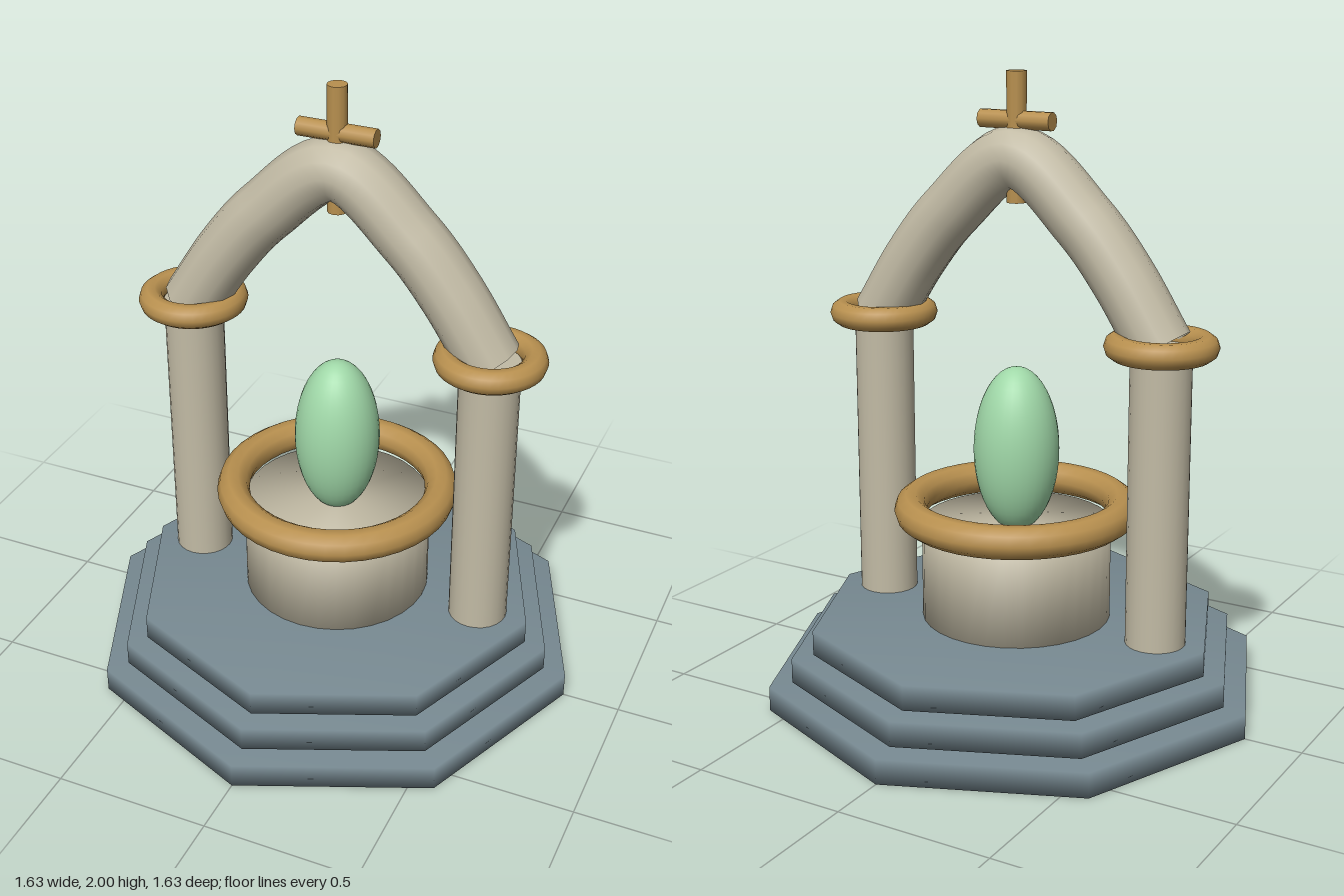
import * as THREE from 'three';
import { mergeVertices } from 'three/addons/utils/BufferGeometryUtils.js';

const slate = new THREE.MeshStandardMaterial({ color: 0x778991 });
const stone = new THREE.MeshStandardMaterial({ color: 0xc2bba5, side: THREE.DoubleSide });
const gold = new THREE.MeshStandardMaterial({ color: 0xb8904f });
const green = new THREE.MeshStandardMaterial({ color: 0xa0d8a8 });

// Weld a geometry so that its normals run softly over the rims
function soften(geometry) {
  geometry.deleteAttribute('normal');
  geometry.deleteAttribute('uv');
  const welded = mergeVertices(geometry);
  welded.computeVertexNormals();
  return welded;
}

// Upright cylinder between two heights
function pillar(radius, y0, y1, sides) {
  return new THREE.CylinderGeometry(radius, radius, y1 - y0, sides).translate(0, (y0 + y1) / 2, 0);
}

// Horizontal ring
function ring(radius, tube, y) {
  return new THREE.TorusGeometry(radius, tube, 10, 40).rotateX(Math.PI / 2).translate(0, y, 0);
}

export function createModel() {
  const model = new THREE.Group();
  model.name = 'shrineWell';
  const add = (name, geometry, material, x = 0) => {
    const mesh = new THREE.Mesh(geometry, material);
    mesh.name = name;
    mesh.position.x = x;
    model.add(mesh);
  };

  // Three octagonal steps with narrow joints
  [[0.814, 0], [0.74, 0.088], [0.67, 0.175]].forEach(([radius, y], i) =>
    add('step' + (i + 1), soften(pillar(radius, y, y + 0.08, 8)), slate));

  // Basin with its rim and the egg resting in it
  add('basin', soften(pillar(0.305, 0.25, 0.57, 32)), stone);
  add('basinRim', ring(0.34, 0.053, 0.615), gold);
  add('egg', new THREE.SphereGeometry(1, 32, 24).scale(0.137, 0.27, 0.137).translate(0, 0.81, 0), green);

  // Columns and collars
  for (const [side, x] of [['left', 0.502], ['right', -0.502]]) {
    add(side + 'Column', pillar(0.095, 0.25, 1.2, 24), stone, x);
    add(side + 'Collar', ring(0.135, 0.04, 1.205), gold, x);
  }

  // Pointed arch, mirrored about the centre
  const half = [[0.5, 1.2], [0.37, 1.4], [0.235, 1.56]];
  const points = [
    ...half.map(([x, y]) => new THREE.Vector3(-x, y, 0)),
    new THREE.Vector3(0, 1.738, 0),
    ...half.map(([x, y]) => new THREE.Vector3(x, y, 0)).reverse(),
  ];
  add('arch', new THREE.TubeGeometry(new THREE.CatmullRomCurve3(points), 48, 0.1, 12), stone);

  // Finial through the crown of the arch
  add('finialPost', pillar(0.031, 1.6, 2, 12), gold);
  add('finialBar', pillar(0.029, -0.125, 0.125, 10).rotateZ(Math.PI / 2).translate(0, 1.852, 0), gold);

  return model;
}
